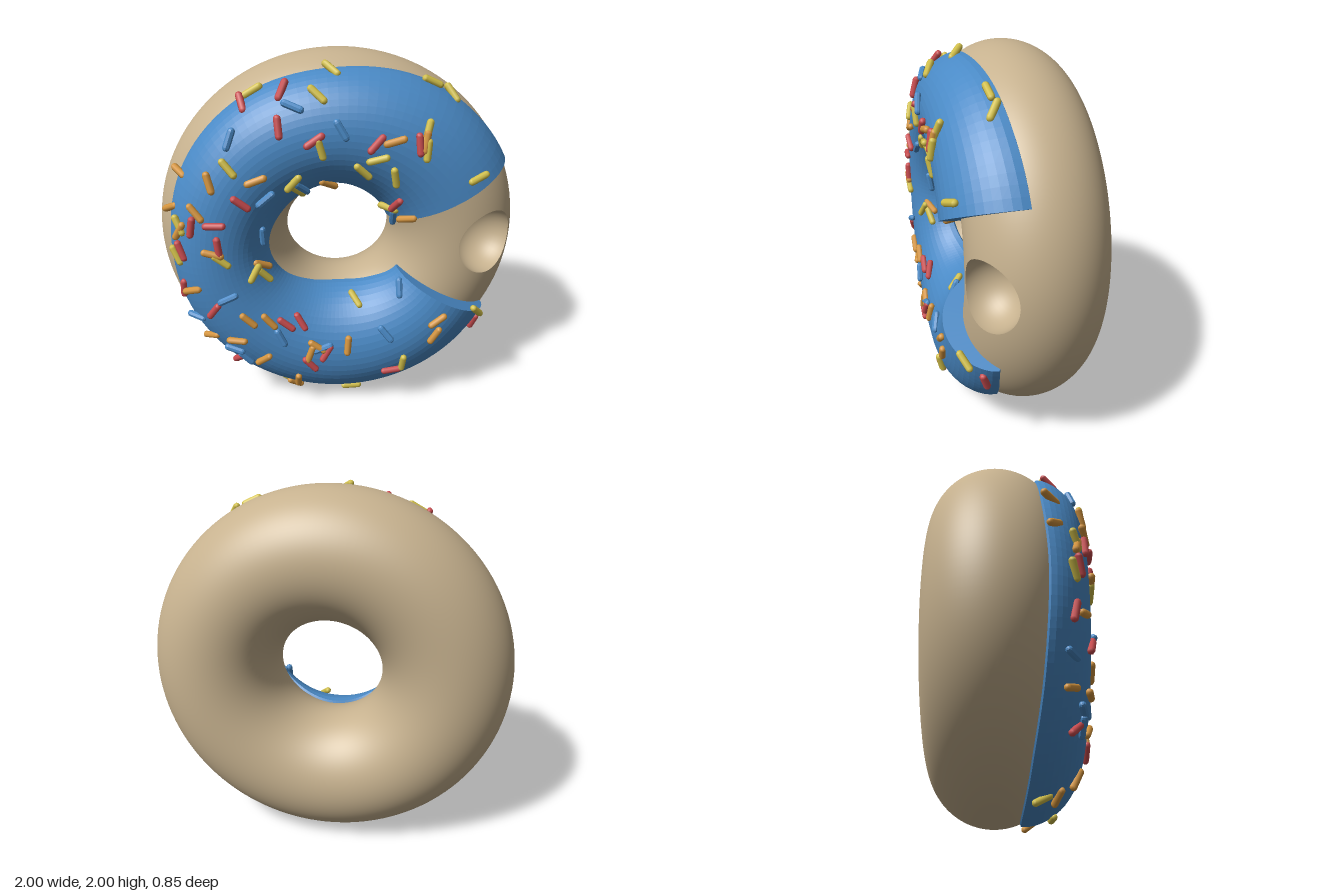
import * as THREE from 'three';
import { ParametricGeometry } from 'three/addons/geometries/ParametricGeometry.js';

const R = 0.645, r = 0.355, ZC = -0.075; // ring radius, tube radius, ring centre in z
const TAU = Math.PI * 2;
const { lerp, clamp, degToRad } = THREE.MathUtils;

// Point on the ring, raised above the dough by h
function ringPoint(theta, phi, h, target) {
  const d = R + (r + h) * Math.cos(phi);
  return target.set(d * Math.cos(theta), d * Math.sin(theta), ZC + (r + h) * Math.sin(phi));
}

// Wavy lower edge of the icing: angle in degrees, z of the edge
const edge = [[27, 0.03], [60, 0.075], [90, 0.13], [120, 0.135], [150, 0.15], [180, 0.175],
  [210, 0.15], [240, 0.095], [270, 0.06], [300, 0.09], [333, 0.15]];
function edgeZ(theta) {
  const deg = clamp(theta * 180 / Math.PI, 27, 333);
  let i = 0;
  while (i < edge.length - 2 && deg > edge[i + 1][0]) i++;
  const f = (deg - edge[i][0]) / (edge[i + 1][0] - edge[i][0]);
  const z = (k) => edge[clamp(k, 0, edge.length - 1)][1];
  const m0 = (z(i + 1) - z(i - 1)) / 2, m1 = (z(i + 2) - z(i)) / 2;
  const f2 = f * f, f3 = f2 * f;
  return (2 * f3 - 3 * f2 + 1) * z(i) + (f3 - 2 * f2 + f) * m0
    + (3 * f2 - 2 * f3) * z(i + 1) + (f3 - f2) * m1;
}

// Icing is thin at its edges and thickest at the front
const thickness = (s) => 0.014 + 0.093 * Math.pow(Math.max(0, Math.sin(Math.PI * s)), 0.8);
function icingPhi(theta, s) {
  const start = Math.asin((edgeZ(theta) - ZC) / r);
  return lerp(start, Math.PI - start, s);
}
const icingPoint = (theta, s, target) =>
  ringPoint(theta, icingPhi(theta, s), thickness(s), target);

function makeDough(material) {
  const group = new THREE.Group();
  group.name = 'dough';
  const add = (name, fn, nu, nv) => {
    const mesh = new THREE.Mesh(new ParametricGeometry(fn, nu, nv), material);
    mesh.name = name;
    group.add(mesh);
  };

  // Ring, leaving a rectangular opening around the round dent
  const T = 6 * TAU / 120, P = 10 * TAU / 96, phiMid = 1.04;
  add('doughRing', (u, v, t) =>
    ringPoint(lerp(T, TAU - T, u), phiMid - P + v * TAU, 0, t), 108, 96);
  add('doughBack', (u, v, t) =>
    ringPoint(lerp(-T, T, u), lerp(phiMid + P, phiMid - P + TAU, v), 0, t), 12, 76);

  // Offset from the dent's middle to the border of the opening
  const border = (u) => {
    const k = ((u % 1) + 1) % 1 * 64;
    if (k < 12) return [lerp(-T, T, k / 12), -P];
    if (k < 32) return [T, lerp(-P, P, (k - 12) / 20)];
    if (k < 44) return [lerp(T, -T, (k - 32) / 12), P];
    return [-T, lerp(P, -P, (k - 44) / 20)];
  };
  const centre = ringPoint(0, phiMid, -0.03, new THREE.Vector3());
  const radius = 0.185, probe = new THREE.Vector3();
  const along = (u, s, t) => {
    const [a, b] = border(u);
    return ringPoint(a * s, phiMid + b * s, 0, t);
  };
  const rimScale = (u) => {
    let lo = 0, hi = 1;
    for (let i = 0; i < 40; i++) {
      const mid = (lo + hi) / 2;
      if (along(u, mid, probe).distanceTo(centre) < radius) lo = mid; else hi = mid;
    }
    return lo;
  };
  add('dentSurround', (u, v, t) => along(u, lerp(1, rimScale(u), v), t), 64, 8);

  // Concave bowl, from the rim down to the deepest point
  const down = new THREE.Vector3(-Math.cos(phiMid), 0, -Math.sin(phiMid));
  add('dentBowl', (u, v, t) => {
    along(u, rimScale(u), t).sub(centre).normalize();
    const angle = t.angleTo(down), a = Math.sin((1 - v) * angle), b = Math.sin(v * angle);
    t.multiplyScalar(a).addScaledVector(down, b).normalize().multiplyScalar(radius).add(centre);
  }, 64, 14);
  return group;
}

function makeIcing(material) {
  const group = new THREE.Group();
  group.name = 'icing';
  const a0 = degToRad(27), a1 = degToRad(333), N = 28;
  const add = (name, fn, nu, nv) => {
    const mesh = new THREE.Mesh(new ParametricGeometry(fn, nu, nv), material);
    mesh.name = name;
    group.add(mesh);
  };
  // Top surface with a short wall down into the dough along both edges
  add('icingTop', (u, v, t) => {
    const theta = lerp(a0, a1, u), i = v * N;
    const s = clamp((i - 1) / (N - 2), 0, 1);
    const wall = clamp(Math.min(i, N - i), 0, 1);
    ringPoint(theta, icingPhi(theta, s), lerp(-0.01, thickness(s), wall), t);
  }, 96, N);
  // Crescent-shaped cut ends
  const cap = (theta, flip) => (u, v, t) =>
    ringPoint(theta, icingPhi(theta, v), lerp(-0.01, thickness(v), flip ? 1 - u : u), t);
  add('icingCutUpper', cap(a0, false), 1, N - 2);
  add('icingCutLower', cap(a1, true), 1, N - 2);
  return group;
}

// Sprinkles: x, height, and turn in degrees
const yellow = [-.04, 1.94, -35, -.11, 1.85, -40, -.43, 1.84, 30, .47, 1.86, -25, .57, 1.8, -55,
  .42, 1.68, 75, .42, 1.59, 85, -.1, 1.61, -75, .18, 1.55, 15, .27, 1.45, -80, .11, 1.48, -45,
  -.55, 1.51, -50, .69, 1.43, 20, -.24, 1.42, 50, -.83, 1.18, -65, -.86, 1, -65, -.62, 1.01, -40,
  -.46, .9, 60, -.41, .87, -50, .09, .66, -50, .76, .62, -50, .35, .32, 85, .07, .06, -3,
  -.31, .08, 50, .26, 1.23, -10, -.22, 1.37, -45];
const orange = [-.83, 1.44, -25, -.65, 1.43, -75, -.42, 1.45, 20, .26, 1.64, 15, .41, 1.63, 80,
  -.06, 1.38, -30, .35, 1.19, 20, -.73, 1.27, -50, -.88, 1.24, 30, -.83, 1.15, 60, -.66, 1.05, -15,
  -.79, .81, 20, -.42, .93, -30, -.5, .64, -45, -.39, .62, -50, .53, .61, 40, .52, .51, 60,
  .04, .45, 85, -.72, .48, 20, -.57, .5, 0, -.43, .37, 40, -.24, .19, 88, -.26, .1, -40,
  .3, .06, 50, -.13, .45, -35, -.17, .41, 70];
const red = [-.28, 1.86, 65, -.48, 1.79, -70, -.3, 1.71, -85, -.13, 1.65, 35, .17, 1.63, 50,
  .38, 1.62, -85, -.5, 1.33, -40, -.64, 1.21, 0, -.76, 1.19, 80, -.63, 1.09, -85, -.83, 1.04, -70,
  -.84, .8, 85, -.68, .7, 55, -.3, .59, -40, -.22, .59, -60, -.57, .34, 45, -.17, .34, -50,
  -.08, .41, 60, .29, .265, 5, .77, .49, 75, .29, 1.27, 60];
const blue = [-.23, 1.8, -20, 0, 1.7, -60, -.54, 1.64, 70, -.38, 1.34, 40, -.41, 1.1, -88,
  -.6, .78, 25, -.33, .52, -65, -.79, .61, -5, -.59, .42, -15, -.53, .36, -50, .25, .52, -50,
  .33, .76, -88, -.2, 1.38, -45, .29, 1.17, -88, -.1, .44, 20];

function makeSprinkles(name, list, material) {
  const group = new THREE.Group();
  group.name = name + 'Sprinkles';
  const geometry = new THREE.CapsuleGeometry(0.019, 0.084, 3, 8);
  const up = new THREE.Vector3(0, 1, 0), p = new THREE.Vector3();
  for (let i = 0; i < list.length; i += 3) {
    const x = list[i], y = list[i + 1] - 1, turn = degToRad(list[i + 2]);
    const theta = (Math.atan2(y, x) + TAU) % TAU, dist = Math.hypot(x, y);
    // Find where the icing lies at this distance from the middle
    let lo = 0.04, hi = 0.96;
    for (let k = 0; k < 30; k++) {
      const mid = (lo + hi) / 2;
      icingPoint(theta, mid, p);
      if (Math.hypot(p.x, p.y) > dist) lo = mid; else hi = mid;
    }
    icingPoint(theta, lo, p);
    const phi = icingPhi(theta, lo);
    const n = new THREE.Vector3(Math.cos(phi) * Math.cos(theta), Math.cos(phi) * Math.sin(theta), Math.sin(phi));
    const dir = new THREE.Vector3(Math.cos(turn), Math.sin(turn), 0);
    dir.z = -dir.dot(n) / Math.max(n.z, 0.2);
    const mesh = new THREE.Mesh(geometry, material);
    mesh.name = name + 'Sprinkle';
    mesh.position.copy(p).addScaledVector(n, 0.009);
    mesh.quaternion.setFromUnitVectors(up, dir.normalize());
    group.add(mesh);
  }
  return group;
}

export function createModel() {
  const mat = (name, color, flatShading = false) =>
    Object.assign(new THREE.MeshStandardMaterial({ color, flatShading }), { name });
  const icingBlue = mat('icing blue', 0x4a8ac6, true);
  const model = new THREE.Group();
  model.name = 'doughnut';
  model.add(
    makeDough(mat('dough tan', 0xc7b28f)),
    makeIcing(icingBlue),
    makeSprinkles('yellow', yellow, mat('sprinkle yellow', 0xd2c04a)),
    makeSprinkles('orange', orange, mat('sprinkle orange', 0xd6963f)),
    makeSprinkles('red', red, mat('sprinkle red', 0xcb4d50)),
    makeSprinkles('blue', blue, icingBlue),
  );
  model.position.y = 1;
  const root = new THREE.Group();
  root.add(model);
  return root;
}
